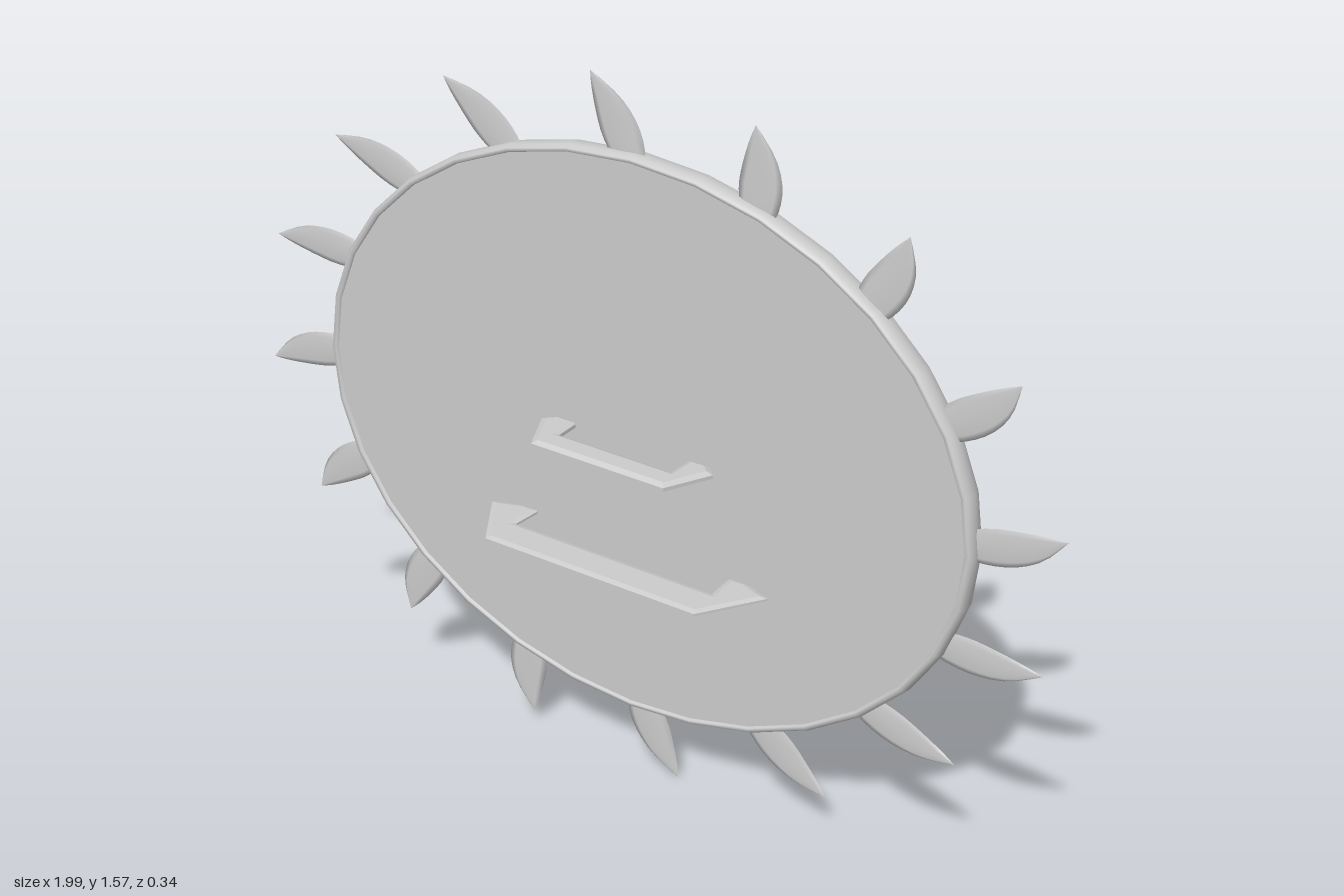
import * as THREE from 'three';

const CENTER_Y = 0.785; // height of the disc centre
const SQUASH = 0.79;    // turns circles into the oval plan

export function createModel() {
  const grey = new THREE.MeshStandardMaterial({ color: 0xcccccc });
  grey.name = 'grey';
  const model = new THREE.Group();
  model.name = 'ovalShield';

  const add = (name, geometry, parent = model) => {
    const mesh = new THREE.Mesh(geometry, grey);
    mesh.name = name;
    parent.add(mesh);
    return mesh;
  };

  // Oval turned part: profile of [radius, z] from back to front
  const turned = (name, profile) => {
    const g = new THREE.LatheGeometry(profile.map(([r, z]) => new THREE.Vector2(r, z)), 32);
    g.rotateX(Math.PI / 2).scale(1, SQUASH, 1).translate(0, CENTER_Y, 0);
    return add(name, g);
  };

  // Domed back
  const dome = [];
  for (let i = 0; i <= 12; i++) {
    const t = i / 12;
    dome.push([0.785 * t, -0.035 - 0.137 * (1 - t * t)]);
  }
  turned('domedBack', dome);

  // Rounded rim and flat front
  turned('rim', [[0.78, -0.034], [0.792, -0.036], [0.801, -0.028], [0.806, -0.008],
    [0.804, 0.008], [0.797, 0.017], [0.788, 0.017], [0.785, 0.011]]);
  turned('frontFace', [[0.786, 0.011], [0, 0.011]]);

  // Leaf blade: thin lens cross-sections swept from root to tip
  const upper = new THREE.SplineCurve([[0.77, 0.055], [0.83, 0.083], [0.89, 0.098], [0.95, 0.108], [0.993, 0.111]]
    .map(p => new THREE.Vector2(...p)));
  const lower = new THREE.SplineCurve([[0.77, -0.022], [0.83, -0.019], [0.89, 0.001], [0.945, 0.042], [0.993, 0.111]]
    .map(p => new THREE.Vector2(...p)));
  const leafGeometry = () => {
    const rows = 10, ring = 8, pos = [], index = [];
    for (let i = 0; i <= rows; i++) {
      const a = upper.getPoint(i / rows), b = lower.getPoint(i / rows);
      const thick = 0.005 * Math.sqrt(1 - i / rows);
      for (let j = 0; j < ring; j++) {
        const w = (j / ring) * Math.PI * 2, s = (1 - Math.cos(w)) / 2;
        pos.push(a.x + (b.x - a.x) * s, a.y + (b.y - a.y) * s, -0.007 + thick * Math.sin(w));
      }
    }
    for (let i = 0; i < rows; i++) {
      for (let j = 0; j < ring; j++) {
        const a = i * ring + j, b = i * ring + (j + 1) % ring;
        index.push(a, a + ring, b, b, a + ring, b + ring);
      }
    }
    // Face outward whichever way the ring was walked
    const g = new THREE.BufferGeometry();
    g.setAttribute('position', new THREE.Float32BufferAttribute(pos, 3));
    g.setIndex(index);
    g.computeVertexNormals();
    if (g.attributes.normal.getZ(3 * ring + 2) < 0) {
      g.setIndex(index.reverse());
      g.computeVertexNormals();
    }
    return g;
  };

  // Sixteen leaves around the rim
  const leaves = new THREE.Group();
  leaves.name = 'leaves';
  model.add(leaves);
  for (let i = 0; i < 16; i++) {
    const g = leafGeometry();
    g.rotateZ((i * Math.PI) / 8).scale(1, SQUASH, 1).translate(0, CENTER_Y, 0);
    add('leaf', g, leaves);
  }

  // Flat bent handle: half outline of [x, z], mirrored, with bevelled edges
  const handle = (name, y, thickness, half) => {
    const mirrored = half.map(([x, z]) => [-x, z]).reverse();
    const shape = new THREE.Shape([...half, ...mirrored].map(p => new THREE.Vector2(...p)));
    const bevel = thickness * 0.3;
    const g = new THREE.ExtrudeGeometry(shape, {
      depth: thickness - 2 * bevel, bevelThickness: bevel, bevelSize: 0.012,
      bevelOffset: -0.012, bevelSegments: 1,
    });
    g.translate(0, 0, bevel - thickness / 2).rotateX(Math.PI / 2).translate(0, y, 0);
    add(name, g);
  };
  handle('upperHandle', 0.785, 0.02,
    [[0.14, 0.07], [0.142, 0.005], [0.19, 0.004], [0.215, 0.03], [0.165, 0.133]]);
  handle('lowerHandle', 0.546, 0.012,
    [[0.25, 0.08], [0.245, 0.005], [0.285, 0.004], [0.352, 0.03], [0.265, 0.166]]);

  return model;
}
